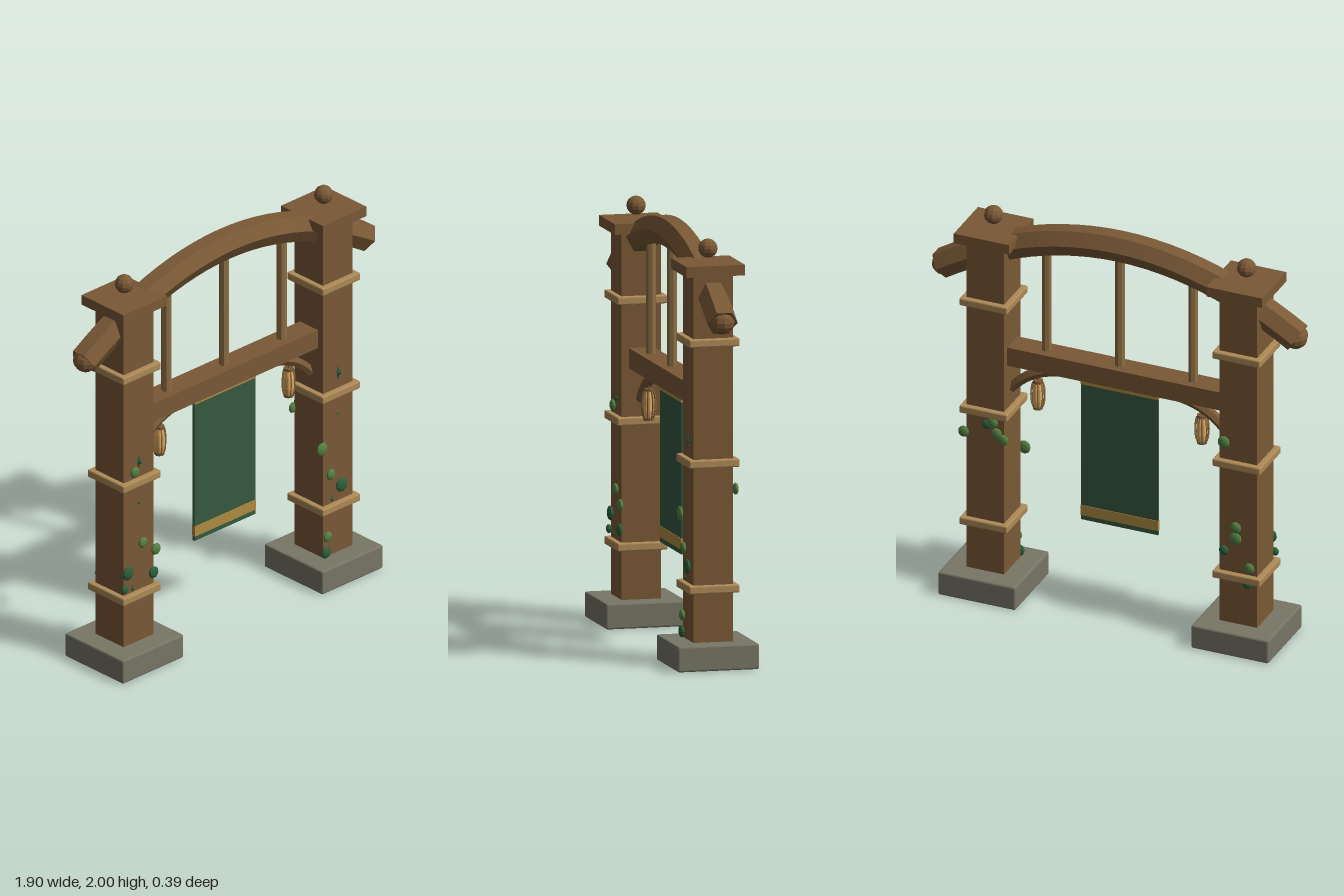
import * as THREE from 'three';
import { RoundedBoxGeometry } from 'three/addons/geometries/RoundedBoxGeometry.js';

const mat = (name, color, extra = {}) => {
  const m = new THREE.MeshStandardMaterial({ color, flatShading: true, ...extra });
  m.name = name;
  return m;
};

export function createModel() {
  const model = new THREE.Group();
  model.name = 'gateway';
  const wood = mat('wood', 0x7a5936);
  const paleWood = mat('paleWood', 0xae8a57);
  const spindleWood = mat('spindleWood', 0x8f6f45);
  const stone = mat('stone', 0x777666);
  const cloth = mat('cloth', 0x35593f);
  const gold = mat('gold', 0xb08c42);
  const glow = mat('lanternGlow', 0xdfa95c);
  const leafLight = mat('leafLight', 0x558042);
  const leafDark = mat('leafDark', 0x2c5f3b);

  const add = (name, geo, material, x = 0, y = 0, z = 0, parent = model) => {
    const mesh = new THREE.Mesh(geo, material);
    mesh.name = name;
    mesh.position.set(x, y, z);
    parent.add(mesh);
    return mesh;
  };
  const box = (w, h, d) => new THREE.BoxGeometry(w, h, d);
  const softBox = (w, h, d, r) => new RoundedBoxGeometry(w, h, d, 1, r);
  const rod = (r, h, n = 8) => new THREE.CylinderGeometry(r, r, h, n);

  // Arch path
  const archY = (x) => 1.928 - 0.353 * x * x;
  const END = 0.9;

  for (const s of [-1, 1]) {
    const side = new THREE.Group();
    side.name = s > 0 ? 'leftPost' : 'rightPost';
    model.add(side);
    const x = s * 0.64;
    // Post, footing, cap and finial
    add('footing', softBox(0.39, 0.12, 0.39, 0.008), stone, x, 0.06, 0, side);
    add('post', box(0.19, 1.74, 0.19), wood, x, 0.985, 0, side);
    add('postCap', box(0.28, 0.05, 0.28), wood, x, 1.868, 0, side);
    add('finial', new THREE.SphereGeometry(0.045, 10, 8), wood, x, 1.955, 0, side);
    for (const y of [0.37, 0.96, 1.527])
      add('postBand', softBox(0.242, 0.038, 0.242, 0.006), paleWood, x, y, 0, side);
    // Ball on the arch end
    add('archBall', new THREE.SphereGeometry(0.06, 10, 8), wood, s * 0.888, 1.648, 0);

    // Curved brace under the crossbeam
    const brace = new THREE.QuadraticBezierCurve3(
      new THREE.Vector3(s * 0.55, 1.06, 0),
      new THREE.Vector3(s * 0.44, 1.2, 0),
      new THREE.Vector3(s * 0.25, 1.205, 0));
    add('brace', new THREE.TubeGeometry(brace, 10, 0.026, 6), wood);

    // Lantern with ribs
    const lantern = new THREE.Group();
    lantern.name = 'lantern';
    lantern.position.set(s * 0.415, 1.055, 0);
    model.add(lantern);
    const profile = [[0, -0.065], [0.02, -0.065], [0.027, -0.03], [0.027, 0.03], [0.02, 0.065], [0, 0.065]]
      .map(([r, y]) => new THREE.Vector2(r, y));
    add('lanternBody', new THREE.LatheGeometry(profile, 8), glow, 0, 0, 0, lantern);
    add('lanternTop', rod(0.024, 0.014), wood, 0, 0.068, 0, lantern);
    add('lanternBottom', rod(0.024, 0.014), wood, 0, -0.068, 0, lantern);
    add('lanternHanger', rod(0.005, 0.08, 6), wood, 0, 0.11, 0, lantern);
    for (let i = 0; i < 8; i++) {
      const a = (i + 0.5) * Math.PI / 4;
      const rib = new THREE.CatmullRomCurve3([[0.022, -0.066], [0.03, -0.035], [0.03, 0.035], [0.022, 0.066]]
        .map(([r, y]) => new THREE.Vector3(r * Math.cos(a), y, r * Math.sin(a))));
      add('lanternRib', new THREE.TubeGeometry(rib, 6, 0.0045, 4), spindleWood, 0, 0, 0, lantern);
    }

    // Vine tips showing through the front of the post
    for (const [dx, y, h] of [[0, 1.06, 0.08], [0.012, 1.055, 0.03], [0, 0.845, 0.014], [-0.04, 0.41, 0.03]])
      add('vine', new THREE.OctahedronGeometry(1, 0), leafDark, x + dx, y, 0.096, side)
        .scale.set(dx > 0 ? 0.014 : 0.01, h / 2, 0.01);
  }

  // Six-sided arch, swept in cross-sections
  const rings = 24, R = 0.073, pos = [], idx = [];
  for (let i = 0; i <= rings; i++) {
    const x = -END + 2 * END * i / rings;
    const slope = -0.706 * x, len = Math.hypot(1, slope);
    for (let k = 0; k < 6; k++) {
      const a = k * Math.PI / 3, u = R * Math.sin(a);
      pos.push(x - u * slope / len, archY(x) + u / len, R * Math.cos(a));
      if (i < rings) {
        const p = i * 6 + k, q = i * 6 + (k + 1) % 6;
        idx.push(p, p + 6, q, q, p + 6, q + 6);
      }
    }
  }
  const last = rings * 6;
  for (let k = 1; k < 5; k++) idx.push(0, k, k + 1, last, last + k + 1, last + k);
  const arch = new THREE.BufferGeometry();
  arch.setAttribute('position', new THREE.Float32BufferAttribute(pos, 3));
  arch.setIndex(idx);
  arch.computeVertexNormals();
  add('arch', arch, wood);

  // Crossbeam and spindles
  add('crossbeam', box(1.1, 0.095, 0.12), wood, 0, 1.254, 0);
  for (const x of [-0.37, 0, 0.37]) {
    const top = archY(x) - 0.04;
    add('spindle', rod(0.024, top - 1.29), spindleWood, x, (top + 1.29) / 2, 0);
  }

  // Hanging banner with gold stripes
  add('banner', box(0.39, 0.765, 0.012), cloth, 0, 0.828, 0);
  add('bannerTopStripe', box(0.392, 0.047, 0.018), gold, 0, 1.184, 0);
  add('bannerLowStripe', box(0.392, 0.052, 0.018), gold, 0, 0.495, 0);

  // Ivy leaves: x, y, radius, dark, face (1 front, -1 back)
  const leafGeo = new THREE.IcosahedronGeometry(1, 1);
  const leaves = [
    [-0.672, 1.016, 0.026, 0, 1], [-0.62, 0.63, 0.026, 0, 1], [-0.537, 0.567, 0.028, 0, 1],
    [-0.715, 0.503, 0.033, 1, 1], [-0.552, 0.45, 0.028, 1, 1], [-0.738, 0.425, 0.02, 1, 1],
    [0.53, 0.698, 0.032, 0, 1], [0.587, 0.545, 0.026, 0, 1], [0.656, 0.468, 0.034, 1, 1],
    [0.566, 0.226, 0.025, 0, 1], [0.556, 0.148, 0.028, 1, 1],
    [0.746, 0.838, 0.027, 0, -1], [0.545, 0.834, 0.026, 0, -1], [0.6, 0.915, 0.028, 0, -1],
    [0.58, 0.86, 0.028, 0, -1], [0.63, 0.9, 0.022, 1, -1],
    [-0.57, 1.07, 0.03, 0, -1], [-0.63, 0.63, 0.028, 0, -1], [-0.63, 0.572, 0.03, 0, -1],
    [-0.7, 0.43, 0.026, 0, -1], [-0.69, 0.345, 0.024, 1, -1], [-0.57, 0.5, 0.024, 1, -1],
  ];
  for (const [x, y, r, dark, face] of leaves) {
    const leaf = add('ivyLeaf', leafGeo, dark ? leafDark : leafLight, x, y, face * 0.104);
    leaf.scale.set(r, r * 1.08, 0.014);
  }
  return model;
}
